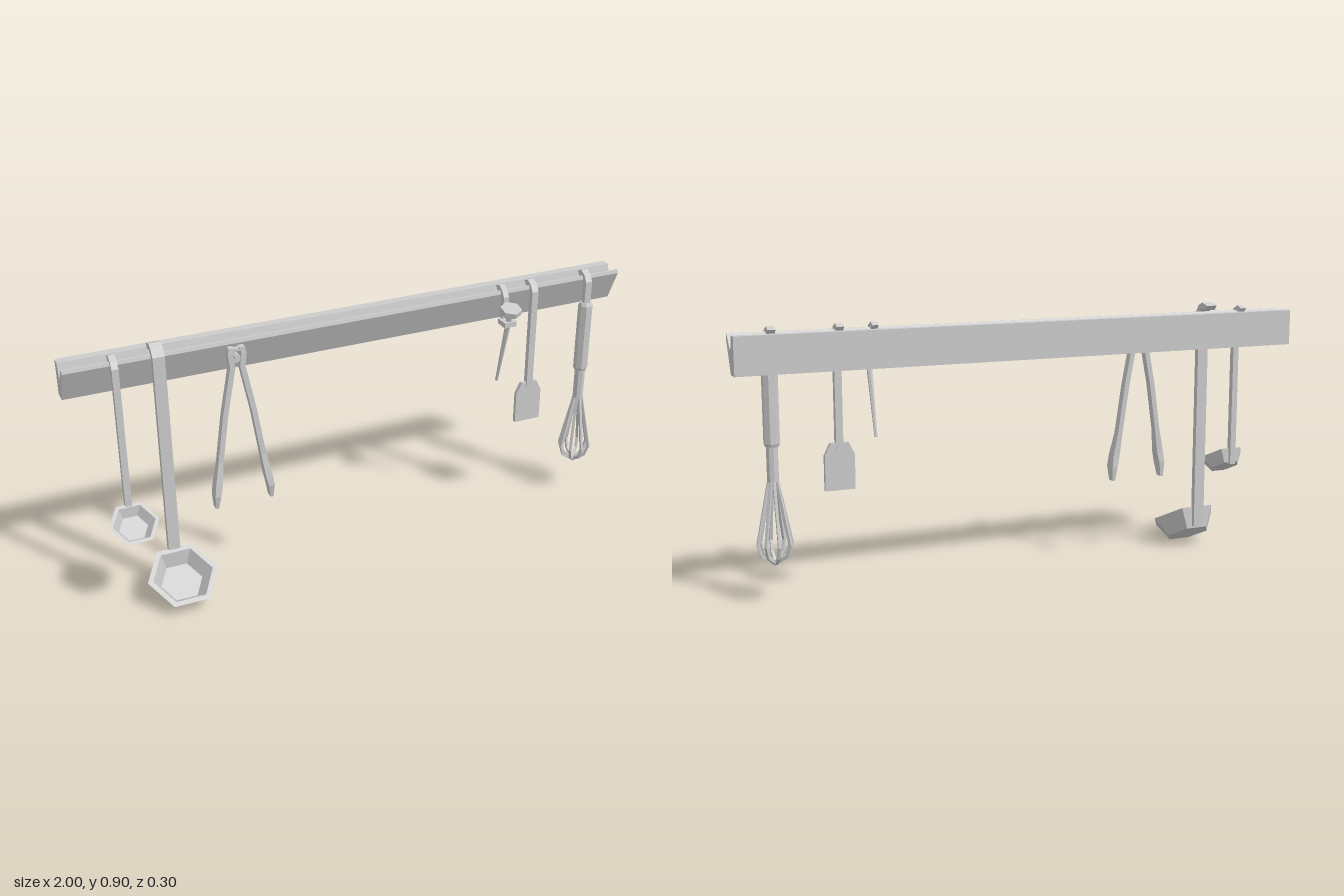
import * as THREE from 'three';

const material = new THREE.MeshStandardMaterial({ color: 0xcccccc, flatShading: true });

function add(parent, name, geometry, x = 0, y = 0, z = 0) {
  const mesh = new THREE.Mesh(geometry, material);
  mesh.name = name;
  mesh.position.set(x, y, z);
  parent.add(mesh);
  return mesh;
}

function group(parent, name, x = 0) {
  const g = new THREE.Group();
  g.name = name;
  g.position.x = x;
  parent.add(g);
  return g;
}

function extrude(points, depth) {
  const shape = new THREE.Shape(points.map(([a, b]) => new THREE.Vector2(a, b)));
  return new THREE.ExtrudeGeometry(shape, { depth, bevelEnabled: false }).translate(0, 0, -depth / 2);
}

// Side profile given as (z, y), extruded along x
const sideExtrude = (points, width) => extrude(points, width).rotateY(-Math.PI / 2);

const lathe = (points, sides, start = 0) =>
  new THREE.LatheGeometry(points.map(([r, y]) => new THREE.Vector2(r, y)), sides, start);

// Flat strip that hangs from y = bottom and curls back over the rail
function hookStrip(width, bottom, top = 0.885, reach = -0.09) {
  return sideExtrude([
    [-0.031, bottom], [-0.031, top - 0.035], [-0.045, top - 0.012], [-0.068, top], [reach, top - 0.01],
    [reach + 0.014, top - 0.026], [-0.069, top - 0.02], [-0.056, top - 0.034], [-0.051, top - 0.045], [-0.051, bottom],
  ], width);
}

// Rectangular sections [x, y, z, width, depth], from top to bottom
function loft(sections) {
  const pos = [], index = [];
  for (const [x, y, z, w, d] of sections)
    for (const [i, k] of [[-1, 1], [1, 1], [1, -1], [-1, -1]]) pos.push(x + i * w / 2, y, z + k * d / 2);
  const n = sections.length;
  for (let s = 0; s < n - 1; s++)
    for (let i = 0; i < 4; i++) {
      const a = s * 4 + i, b = s * 4 + (i + 1) % 4;
      index.push(a, a + 4, b, b, a + 4, b + 4);
    }
  const e = (n - 1) * 4;
  index.push(0, 1, 2, 0, 2, 3, e, e + 2, e + 1, e, e + 3, e + 2);
  const g = new THREE.BufferGeometry();
  g.setAttribute('position', new THREE.Float32BufferAttribute(pos, 3));
  g.setIndex(index);
  g.computeVertexNormals();
  return g;
}

// Six-sided open bowl tilted forward on a hooked handle
function ladle(parent, name, x, o) {
  const g = group(parent, name, x);
  add(g, 'handle', hookStrip(o.width, o.bottom, o.top, o.reach));
  const { r, base, depth, t } = o;
  const bowl = add(g, 'bowl', lathe([
    [0, -depth], [base, -depth], [r, 0], [r - t, 0], [base - t * 0.5, t - depth], [0, t - depth],
  ], 6, Math.PI / 6), 0, o.y, o.z);
  bowl.rotation.x = Math.PI / 6;
}

function tongs(parent) {
  const g = group(parent, 'tongs', -0.45);
  for (const s of [-1, 1]) {
    add(g, 'arm', loft([
      [s * 0.018, 0.857, -0.024, 0.018, 0.022],
      [s * 0.023, 0.835, -0.024, 0.018, 0.024],
      [s * 0.017, 0.79, -0.026, 0.018, 0.026],
      [s * 0.05, 0.62, -0.027, 0.018, 0.026],
      [s * 0.075, 0.45, -0.027, 0.018, 0.026],
      [s * 0.088, 0.37, -0.022, 0.024, 0.036],
      [s * 0.095, 0.33, -0.022, 0.02, 0.042],
      [s * 0.097, 0.28, -0.025, 0.01, 0.026],
    ]));
    const link = add(g, 'link', new THREE.BoxGeometry(0.03, 0.01, 0.014), s * 0.01, 0.815, -0.024);
    link.rotation.z = s * 0.6;
  }
  add(g, 'topBridge', new THREE.BoxGeometry(0.04, 0.01, 0.016), 0, 0.848, -0.026);
  const pivot = add(g, 'pivot', new THREE.CylinderGeometry(0.01, 0.01, 0.032, 6), 0, 0.822, -0.026);
  pivot.rotation.x = Math.PI / 2;
}

function thermometer(parent) {
  const g = group(parent, 'thermometer', 0.535);
  add(g, 'hook', hookStrip(0.02, 0.752));
  add(g, 'clip', new THREE.BoxGeometry(0.046, 0.018, 0.05), 0, 0.763, -0.017);
  const probe = group(g, 'probe');
  probe.position.set(0, 0.815, 0.003);
  probe.rotation.x = 0.24;
  add(probe, 'dial', new THREE.CylinderGeometry(0.038, 0.038, 0.019, 6));
  add(probe, 'collar', new THREE.CylinderGeometry(0.015, 0.012, 0.02, 6), 0, -0.018, 0);
  add(probe, 'spike', new THREE.CylinderGeometry(0.011, 0.005, 0.3, 6), 0, -0.16, 0);
}

function spatula(parent) {
  const g = group(parent, 'spatula', 0.65);
  add(g, 'handle', hookStrip(0.024, 0.48));
  add(g, 'blade', extrude([
    [-0.03, 0.5], [-0.05, 0.46], [-0.05, 0.345], [0.05, 0.345], [0.05, 0.46], [0.03, 0.5],
  ], 0.014), 0, 0, -0.042);
}

function whisk(parent) {
  const g = group(parent, 'whisk', 0.868);
  add(g, 'hook', hookStrip(0.025, 0.76));
  add(g, 'grip', lathe([
    [0, 0.505], [0.022, 0.505], [0.026, 0.515], [0.026, 0.76], [0.021, 0.77], [0, 0.77],
  ], 8, Math.PI / 8), 0, 0, -0.043);
  add(g, 'stem', new THREE.CylinderGeometry(0.019, 0.019, 0.12, 8), 0, 0.45, -0.043);
  const wire = extrude([
    [0.018, 0.395], [0.06, 0.19], [0.047, 0.15], [0, 0.118],
    [0, 0.131], [0.039, 0.157], [0.049, 0.192], [0.008, 0.395],
  ], 0.009);
  for (let i = 0; i < 8; i++) add(g, 'wire', wire, 0, 0, -0.043).rotation.y = i * Math.PI / 4;
}

export function createModel() {
  const model = new THREE.Group();
  model.name = 'utensilRail';

  // Wall rail with a slanted front lip and a V groove
  add(model, 'rail', sideExtrude([
    [-0.148, 0.745], [-0.102, 0.745], [-0.052, 0.855], [-0.055, 0.867], [-0.062, 0.867],
    [-0.105, 0.815], [-0.117, 0.867], [-0.148, 0.867],
  ], 2));

  ladle(model, 'smallLadle', -0.84, {
    width: 0.022, bottom: 0.3, r: 0.084, base: 0.055, depth: 0.046, t: 0.013, y: 0.3215, z: 0.025,
  });
  ladle(model, 'largeLadle', -0.7, {
    width: 0.04, bottom: 0.08, top: 0.9, reach: -0.102,
    r: 0.122, base: 0.081, depth: 0.07, t: 0.019, y: 0.098, z: 0.056,
  });
  tongs(model);
  thermometer(model);
  spatula(model);
  whisk(model);
  return model;
}
